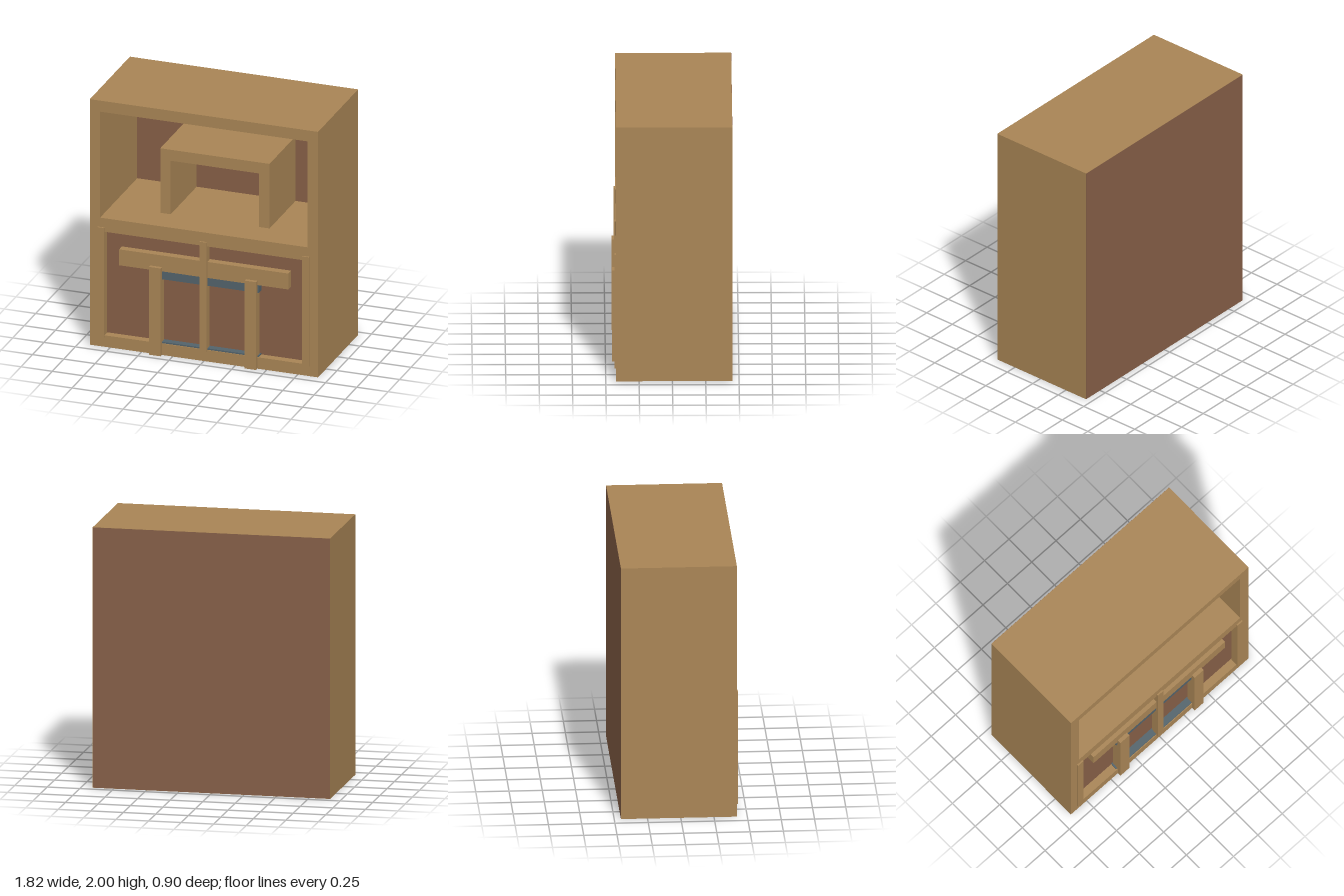
import * as THREE from 'three';

const wood = new THREE.MeshStandardMaterial({ color: 0xa98555 });
wood.name = 'wood';
const brown = new THREE.MeshStandardMaterial({ color: 0x865f47 });
brown.name = 'brownPanel';
const slate = new THREE.MeshStandardMaterial({ color: 0x53636b });
slate.name = 'slateBlue';

// Rectangle outline from its edges
function rect(path, x0, x1, y0, y1) {
  path.moveTo(x0, y0);
  path.lineTo(x1, y0);
  path.lineTo(x1, y1);
  path.lineTo(x0, y1);
  path.closePath();
  return path;
}

export function createModel() {
  const group = new THREE.Group();
  group.name = 'cabinet';

  const add = (name, geometry, material) => {
    const mesh = new THREE.Mesh(geometry, material);
    mesh.name = name;
    group.add(mesh);
  };
  // Box placed by its edges
  const box = (name, material, x0, x1, y0, y1, z0, z1) => {
    const g = new THREE.BoxGeometry(x1 - x0, y1 - y0, z1 - z0);
    g.translate((x0 + x1) / 2, (y0 + y1) / 2, (z0 + z1) / 2);
    add(name, g, material);
  };
  // Outline pushed through from z0 to z1
  const extrude = (name, material, shape, z0, z1) => {
    const g = new THREE.ExtrudeGeometry(shape, { depth: z1 - z0, bevelEnabled: false });
    g.translate(0, 0, z0);
    add(name, g, material);
  };

  // Carcass with an upper and a lower opening
  const frame = rect(new THREE.Shape(), -0.912, 0.912, 0, 2);
  frame.holes.push(
    rect(new THREE.Path(), -0.83, 0.826, 1.047, 1.91),
    rect(new THREE.Path(), -0.81, 0.805, 0.093, 0.937),
  );
  extrude('carcass', wood, frame, -0.449, 0.422);

  // Back sheet and the slightly recessed lower front
  box('backPanel', brown, -0.911, 0.911, 0.001, 1.999, -0.45, -0.385);
  box('lowerPanel', brown, -0.812, 0.807, 0.09, 0.94, -0.44, 0.36);

  // Arch standing on the upper shelf
  const arch = new THREE.Shape([
    [-0.438, 1.046], [-0.355, 1.046], [-0.355, 1.483], [0.35, 1.483],
    [0.35, 1.046], [0.435, 1.046], [0.435, 1.573], [-0.438, 1.573],
  ].map(([x, y]) => new THREE.Vector2(x, y)));
  extrude('shelfArch', wood, arch, -0.386, 0.18);

  // Lower front: crossbar and blue strips
  box('crossbar', wood, -0.678, 0.673, 0.68, 0.81, 0.35, 0.42);
  box('upperStrip', slate, -0.44, 0.436, 0.614, 0.68, 0.35, 0.415);
  box('lowerStrip', slate, -0.44, 0.436, 0.09, 0.104, 0.35, 0.415);

  // Two legs and three slim battens
  for (const x of [-0.383, 0.38]) {
    box('frontLeg', wood, x - 0.046, x + 0.046, 0, 0.715, 0.37, 0.45);
  }
  for (const x of [-0.822, -0.002, 0.816]) {
    box('batten', wood, x - 0.028, x + 0.028, 0.08, 0.972, 0.37, 0.434);
  }

  return group;
}
